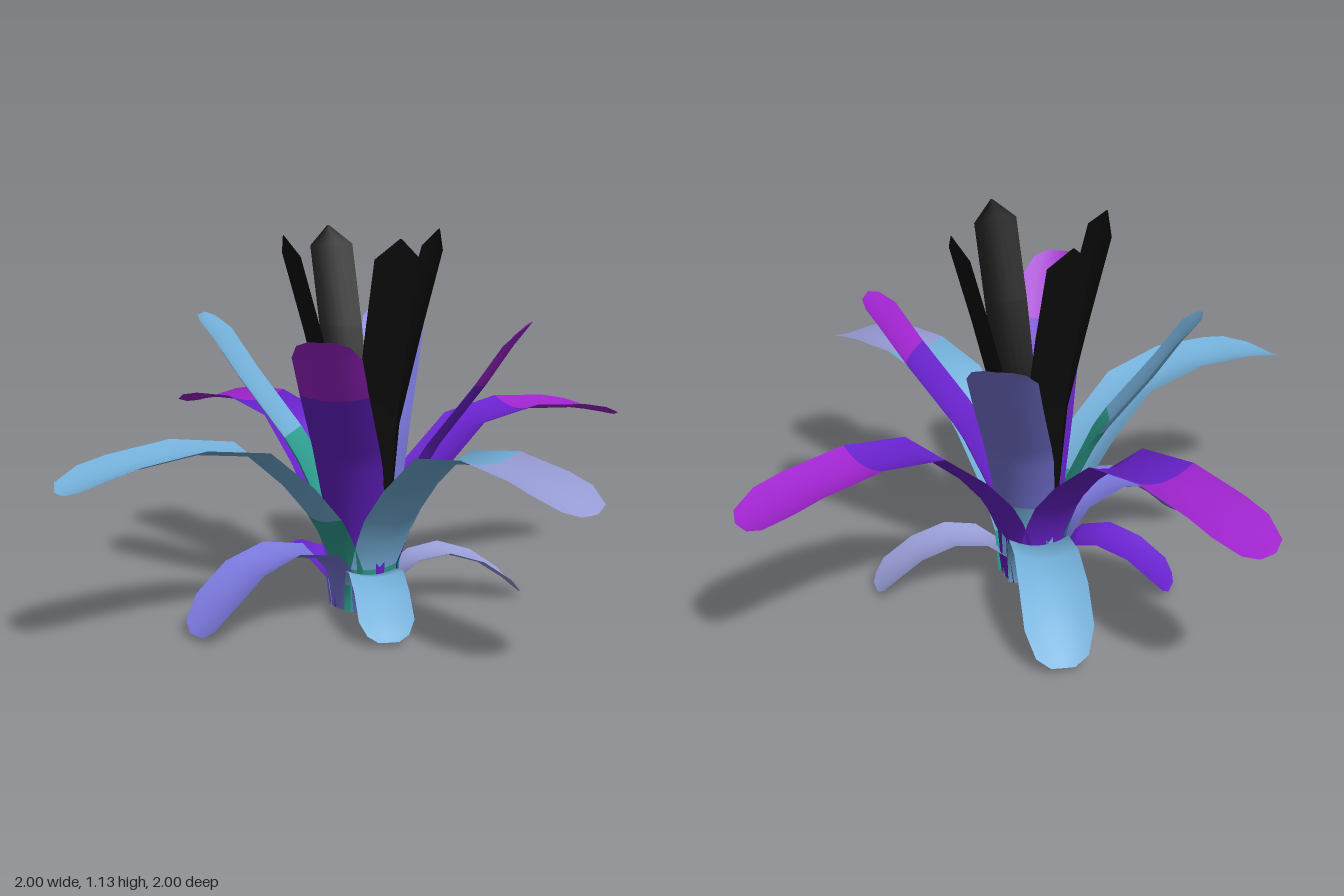
import * as THREE from 'three';

const mat = (name, color) => {
  const m = new THREE.MeshStandardMaterial({ color, side: THREE.DoubleSide });
  m.name = name;
  return m;
};

// Profiles: [radius from the stem axis, height, half width]
const LONG = [[0.08, 0, 0.085], [0.09, 0.13, 0.09], [0.13, 0.22, 0.095], [0.17, 0.285, 0.1], [0.26, 0.39, 0.1],
  [0.4, 0.51, 0.1], [0.6, 0.54, 0.105], [0.8, 0.522, 0.105], [0.89, 0.505, 0.105], [0.975, 0.485, 0.075], [1, 0.478, 0.03]];
const UPRIGHT = [[0.075, 0, 0.075], [0.08, 0.15, 0.08], [0.115, 0.27, 0.09], [0.2, 0.45, 0.1], [0.235, 0.51, 0.1],
  [0.37, 0.69, 0.1], [0.45, 0.81, 0.1], [0.485, 0.855, 0.075], [0.5, 0.875, 0.035]];
const LOW = [[0.09, 0, 0.08], [0.1, 0.1, 0.085], [0.17, 0.175, 0.09], [0.3, 0.2, 0.095], [0.42, 0.165, 0.1],
  [0.52, 0.09, 0.1], [0.58, 0.035, 0.075], [0.6, 0.015, 0.035]];
const SMALL = [[0.09, 0, 0.07], [0.1, 0.08, 0.07], [0.15, 0.13, 0.075], [0.23, 0.145, 0.08], [0.32, 0.115, 0.08],
  [0.4, 0.055, 0.08], [0.43, 0.025, 0.06], [0.445, 0.012, 0.03]];
const CORE = [[0.065, 0, 0.06], [0.075, 0.3, 0.062], [0.1, 0.56, 0.066], [0.17, 0.83, 0.07], [0.238, 1.07, 0.07], [0.252, 1.13, 0.003]];

const ACROSS = 6;

// A leaf: cross-sections swept along a profile, its edges curled towards the stem side.
// bands lists [index of first segment, material] from base to tip.
function makeLeaf(name, profile, degrees, bands, stretch = 1, curl = [0.035, 0.015]) {
  const a = THREE.MathUtils.degToRad(degrees);
  const pos = [], index = [];
  const last = profile.length - 1, row = ACROSS + 1;
  profile.forEach(([r, y, w], i) => {
    const p = profile[Math.max(i - 1, 0)], q = profile[Math.min(i + 1, last)];
    const tr = q[0] - p[0], ty = q[1] - p[1], len = Math.hypot(tr, ty);
    const depth = THREE.MathUtils.lerp(curl[0], curl[1], i / last);
    for (let j = 0; j <= ACROSS; j++) {
      const s = (j / ACROSS * 2 - 1) * w;
      const c = depth * (s / 0.1) ** 2;
      const rr = r * (i > 1 ? stretch : 1) - c * ty / len;
      const yy = i === 0 ? 0 : y + c * tr / len;
      pos.push(rr * Math.cos(a) - s * Math.sin(a), yy, rr * Math.sin(a) + s * Math.cos(a));
    }
  });
  for (let i = 0; i < last; i++) {
    for (let j = 0; j < ACROSS; j++) {
      const k = i * row + j;
      index.push(k, k + row, k + 1, k + 1, k + row, k + row + 1);
    }
  }
  const geo = new THREE.BufferGeometry();
  geo.setAttribute('position', new THREE.Float32BufferAttribute(pos, 3));
  geo.setIndex(index);
  geo.computeVertexNormals();
  bands.forEach(([start], b) => {
    const end = b + 1 < bands.length ? bands[b + 1][0] : last;
    geo.addGroup(start * ACROSS * 6, (end - start) * ACROSS * 6, b);
  });
  const mesh = new THREE.Mesh(geo, bands.map(b => b[1]));
  mesh.name = name;
  return mesh;
}

export function createModel() {
  const teal = mat('teal', 0x2fa092);
  const blue = mat('lightBlue', 0x74b0da);
  const lavender = mat('lavender', 0x999ed8);
  const periwinkle = mat('periwinkle', 0x7a78dc);
  const purple = mat('purple', 0x6822cc);
  const magenta = mat('magenta', 0xa024cf);
  const black = mat('black', 0x0c0c0c);

  const plant = new THREE.Group();
  plant.name = 'plant';

  // Long arching leaves
  plant.add(
    makeLeaf('longLeafLeft', LONG, 0.5, [[0, teal], [1, blue], [6, lavender]]),
    makeLeaf('longLeafFront', LONG, 90.5, [[0, teal], [3, blue]]),
    makeLeaf('longLeafRight', LONG, 180.5, [[0, purple], [6, magenta]]),
    makeLeaf('longLeafBack', LONG, 270, [[0, purple], [6, magenta]]),
  );

  // Upright diagonal leaves
  plant.add(
    makeLeaf('uprightLeafFrontLeft', UPRIGHT, 49, [[0, purple], [5, magenta]]),
    makeLeaf('uprightLeafFrontRight', UPRIGHT, 138, [[0, teal], [4, blue]]),
    makeLeaf('uprightLeafBackRight', UPRIGHT, 229, [[0, blue], [2, periwinkle]]),
    makeLeaf('uprightLeafBackLeft', UPRIGHT, 319, [[0, purple], [5, magenta]]),
  );

  // Low drooping leaves
  plant.add(
    makeLeaf('lowLeafFront', LOW, 88, [[0, periwinkle]]),
    makeLeaf('lowLeafBackRight', LOW, 210, [[0, blue]]),
    makeLeaf('smallLeafLeft', SMALL, 26, [[0, teal], [1, blue]], 0.96),
    makeLeaf('smallLeafRight', SMALL, 146, [[0, blue], [1, purple]]),
    makeLeaf('smallLeafBack', SMALL, 293, [[0, purple], [1, lavender]], 1.1),
  );

  // Dark pointed leaves of the core
  for (let i = 0; i < 4; i++) {
    plant.add(makeLeaf('coreLeaf', CORE, 11 + i * 90, [[0, black]], 1, [0.03, 0.02]));
  }
  return plant;
}
